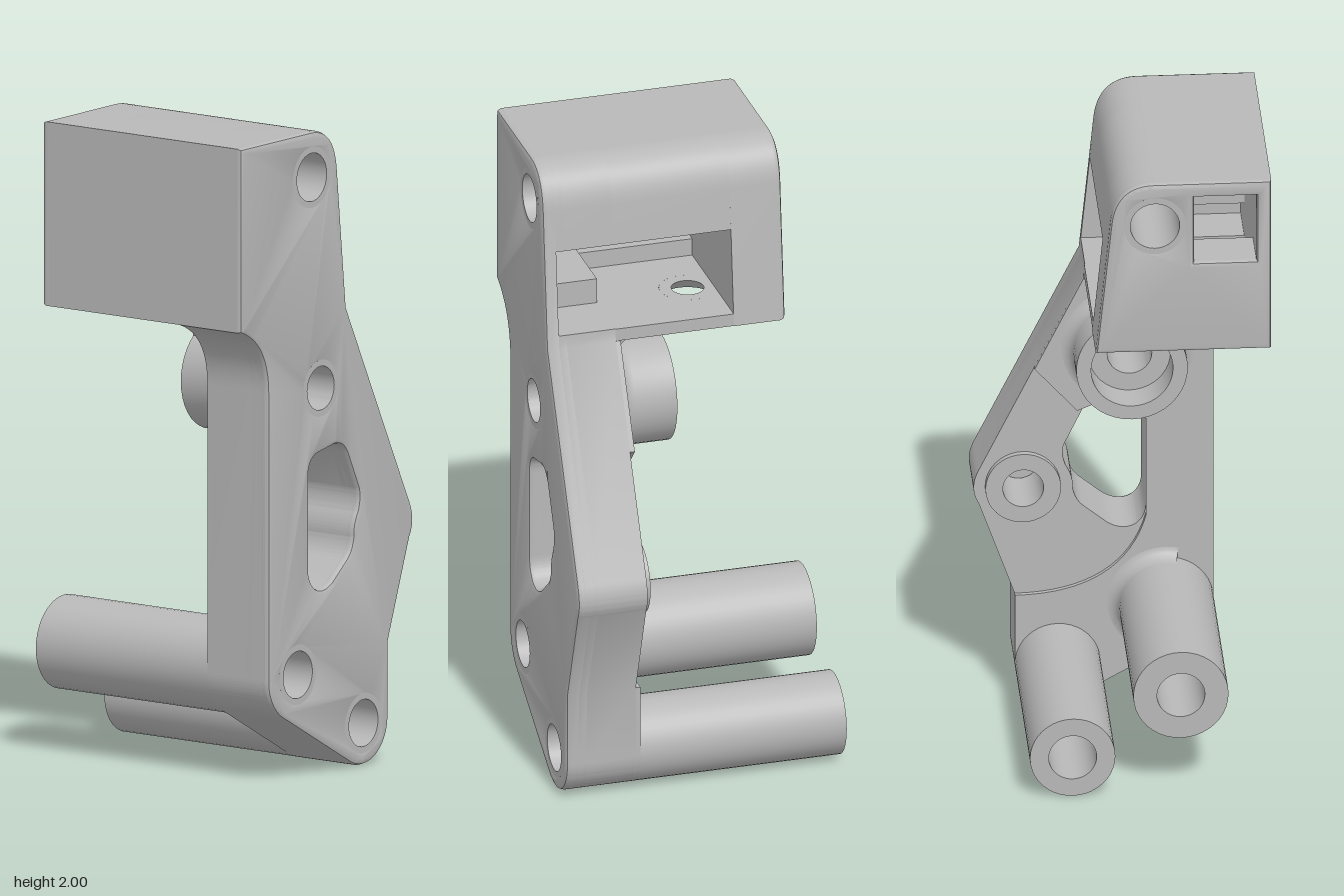
import * as THREE from 'three';
import { toCreasedNormals } from 'three/addons/utils/BufferGeometryUtils.js';

export function createModel() {
  const model = new THREE.Group();
  model.name = 'bracket';
  const grey = new THREE.MeshStandardMaterial({ color: 0xb8b8b8 });
  grey.name = 'plain grey';

  const add = (name, geo) => {
    const mesh = new THREE.Mesh(toCreasedNormals(geo, 0.55), grey);
    mesh.name = name;
    model.add(mesh);
    return mesh;
  };

  // Extrude a shape between two z levels, optionally with bevelled rims
  const slab = (name, shape, holes, z0, z1, bevel = 0) => {
    shape.holes = holes;
    const geo = new THREE.ExtrudeGeometry(shape, {
      depth: z1 - z0 - 2 * bevel, curveSegments: 16, bevelEnabled: bevel > 0,
      bevelSize: bevel, bevelThickness: bevel, bevelOffset: -bevel, bevelSegments: 2,
    });
    geo.translate(0, 0, z0 + bevel);
    return add(name, geo);
  };

  // Turned part along z; profile is [radius, z]
  const turned = (name, [x, y], profile, start = 0, length = Math.PI * 2) => {
    const geo = new THREE.LatheGeometry(profile.map(p => new THREE.Vector2(...p)), 40, start, length);
    geo.rotateX(Math.PI / 2);
    geo.translate(x, y, 0);
    return add(name, geo);
  };

  const circle = ([x, y], r) => new THREE.Path().absarc(x, y, r, 0, Math.PI * 2, true);
  const poly = pts => new THREE.Shape(pts.map(p => new THREE.Vector2(...p)));

  const TOP = [-0.08, 1.86], MID = [-0.035, 1.2], POST_A = [-0.15, 0.33], POST_B = [0.18, 0.13];
  const BLIND = [0.285, 0.725];
  const topHole = () => circle(TOP, 0.08);
  const lowHoles = () => [circle(MID, 0.073), circle(POST_A, 0.078), circle(POST_B, 0.078)];

  // Left edge and rounded foot shared by the plate layers
  const leftAndFoot = s => {
    s.lineTo(-0.435, 1.43);
    s.quadraticCurveTo(-0.295, 1.38, -0.295, 1.22);
    s.lineTo(-0.295, 0.33);
    s.absarc(...POST_A, 0.145, Math.PI, Math.PI * 4 / 3, false);
    s.absarc(...POST_B, 0.13, Math.PI * 4 / 3, Math.PI * 2, false);
    s.lineTo(0.31, 0.36);
  };
  const roundedTop = s => {
    s.lineTo(0.055, 1.87);
    s.quadraticCurveTo(0.04, 2, -0.08, 2);
    s.lineTo(-0.435, 2);
  };
  const plateShape = (notch = []) => {
    const s = new THREE.Shape();
    s.moveTo(-0.435, 2);
    leftAndFoot(s);
    s.lineTo(0.42, 0.67);
    s.quadraticCurveTo(0.45, 0.72, 0.42, 0.78);
    s.lineTo(0.1, 1.43);
    notch.forEach(p => s.lineTo(...p));
    roundedTop(s);
    return s;
  };
  const blockShape = pts => {
    const s = new THREE.Shape();
    s.moveTo(-0.435, 1.43);
    pts.forEach(p => s.lineTo(...p));
    roundedTop(s);
    return s;
  };

  // Irregular opening in the middle of the plate
  const opening = () => {
    const p = new THREE.Path();
    p.moveTo(-0.09, 0.65);
    p.lineTo(-0.09, 0.93);
    p.quadraticCurveTo(-0.09, 0.995, -0.03, 1.0);
    p.lineTo(0.04, 1.013);
    p.quadraticCurveTo(0.085, 1.015, 0.105, 0.975);
    p.lineTo(0.16, 0.86);
    p.quadraticCurveTo(0.17, 0.83, 0.155, 0.79);
    p.quadraticCurveTo(0.13, 0.75, 0.133, 0.71);
    p.quadraticCurveTo(0.125, 0.67, 0.1, 0.65);
    p.lineTo(0.03, 0.593);
    p.quadraticCurveTo(-0.02, 0.56, -0.06, 0.585);
    p.quadraticCurveTo(-0.09, 0.61, -0.09, 0.65);
    return p;
  };

  // Plate layers, with the side pocket cut into the upper part
  const through = () => [topHole(), ...lowHoles(), opening()];
  const shallow = [[0.096, 1.47], [-0.1, 1.47], [-0.1, 1.74], [0.068, 1.74]];
  const stepped = [[0.096, 1.47], [-0.1, 1.47], [-0.1, 1.55], [-0.39, 1.55],
    [-0.39, 1.66], [-0.1, 1.66], [-0.1, 1.74], [0.068, 1.74]];
  slab('plateBack', plateShape(stepped), [...through(), circle(BLIND, 0.065)], 0.225, 0.38);
  slab('plateMiddle', plateShape(shallow), [...through(), circle(BLIND, 0.065)], 0.38, 0.405);
  slab('plateFront', plateShape(), through(), 0.405, 0.43);
  slab('plateFrontRim', plateShape(), through(), 0.405, 0.445, 0.015);

  // Slightly raised area on the back of the plate
  const raised = new THREE.Shape();
  raised.moveTo(0.1, 1.43);
  leftAndFoot(raised);
  raised.quadraticCurveTo(-0.02, 0.36, -0.09, 0.62);
  raised.lineTo(-0.09, 0.93);
  raised.quadraticCurveTo(-0.09, 0.995, -0.03, 1.0);
  raised.lineTo(0.04, 1.013);
  raised.lineTo(0.12, 0.98);
  raised.lineTo(0.25, 1.125);
  slab('raisedBack', raised, lowHoles(), 0.21, 0.225);

  // Head block: back wall with window, then hollow middle
  const backHoles = () => [topHole(), poly([[-0.39, 1.73], [-0.39, 1.95], [-0.2, 1.95], [-0.2, 1.73]])];
  slab('headBack', blockShape([[0.1, 1.43]]), backHoles(), -0.3, -0.15);
  slab('headBackRim', blockShape([[0.1, 1.43]]), backHoles(), -0.315, -0.275, 0.015);
  slab('headShell', blockShape([[-0.39, 1.43], [-0.39, 1.95], [-0.2, 1.95], [-0.2, 1.74], [0.068, 1.74]]),
    [topHole()], -0.15, 0.225);

  // Pocket floor with countersunk hole, and the ledge at its far side
  const floor = poly([[-0.39, -0.225], [0.098, -0.225], [0.098, 0.15], [-0.39, 0.15]]);
  floor.holes = [circle([-0.123, 0.07], 0.088)];
  const floorGeo = new THREE.ExtrudeGeometry(floor, { depth: 0.04, bevelEnabled: false, curveSegments: 20 });
  floorGeo.rotateX(-Math.PI / 2);
  floorGeo.translate(0, 1.43, 0);
  add('pocketFloor', floorGeo);
  const sink = new THREE.LatheGeometry(
    [[0.088, 0], [0.088, 0.04], [0.05, 0.04], [0.088, 0]].map(p => new THREE.Vector2(...p)), 32);
  sink.translate(-0.123, 1.43, -0.07);
  add('countersink', sink);
  const ledge = new THREE.BoxGeometry(0.05, 0.055, 0.375);
  ledge.translate(-0.365, 1.4975, 0.0375);
  add('pocketLedge', ledge);

  // Fillet under the head where it meets the plate
  const fillet = new THREE.Shape();
  fillet.moveTo(0.215, 1.435);
  fillet.lineTo(0.17, 1.43);
  fillet.quadraticCurveTo(0.21, 1.43, 0.212, 1.385);
  const filletGeo = new THREE.ExtrudeGeometry(fillet, { depth: 0.46, bevelEnabled: false });
  filletGeo.rotateY(-Math.PI / 2);
  filletGeo.translate(0.09, 0, 0);
  add('headFillet', filletGeo);

  // Bored posts and sleeves
  const post = (name, at, r, R) => turned(name, at, [[r, -0.445], [R, -0.445], [R, 0.3],
    [r + 0.02, 0.3], [r + 0.02, 0.445], [r, 0.445], [r, -0.445]]);
  post('upperPost', POST_A, 0.073, 0.145);
  post('lowerPost', POST_B, 0.073, 0.13);
  turned('topBore', TOP, [[0.075, -0.315], [0.095, -0.315], [0.095, 0.445], [0.075, 0.445], [0.075, -0.315]]);

  // Concave flare profile at the base of a round part
  const flare = R => [0, 1, 2, 3, 4, 5].map(i => {
    const a = i / 5 * Math.PI / 2;
    return [R + 0.04 * (1 - Math.cos(a)), 0.17 + 0.041 * Math.sin(a)];
  });
  turned('upperPostFillet', POST_A, flare(0.145), Math.PI * 0.25, Math.PI * 0.82);
  turned('counterboredBoss', MID, [[0.125, 0.04], [0.17, 0.04], ...flare(0.17), [0.21, 0.225],
    [0.088, 0.225], [0.088, 0.445], [0.068, 0.445], [0.068, 0.15], [0.125, 0.15], [0.125, 0.04]]);
  turned('sideBoss', BLIND, [[0.062, 0.205], [0.115, 0.205], [0.115, 0.24], [0.07, 0.24],
    [0.07, 0.4], [0.062, 0.4], [0.062, 0.205]]);

  return model;
}
